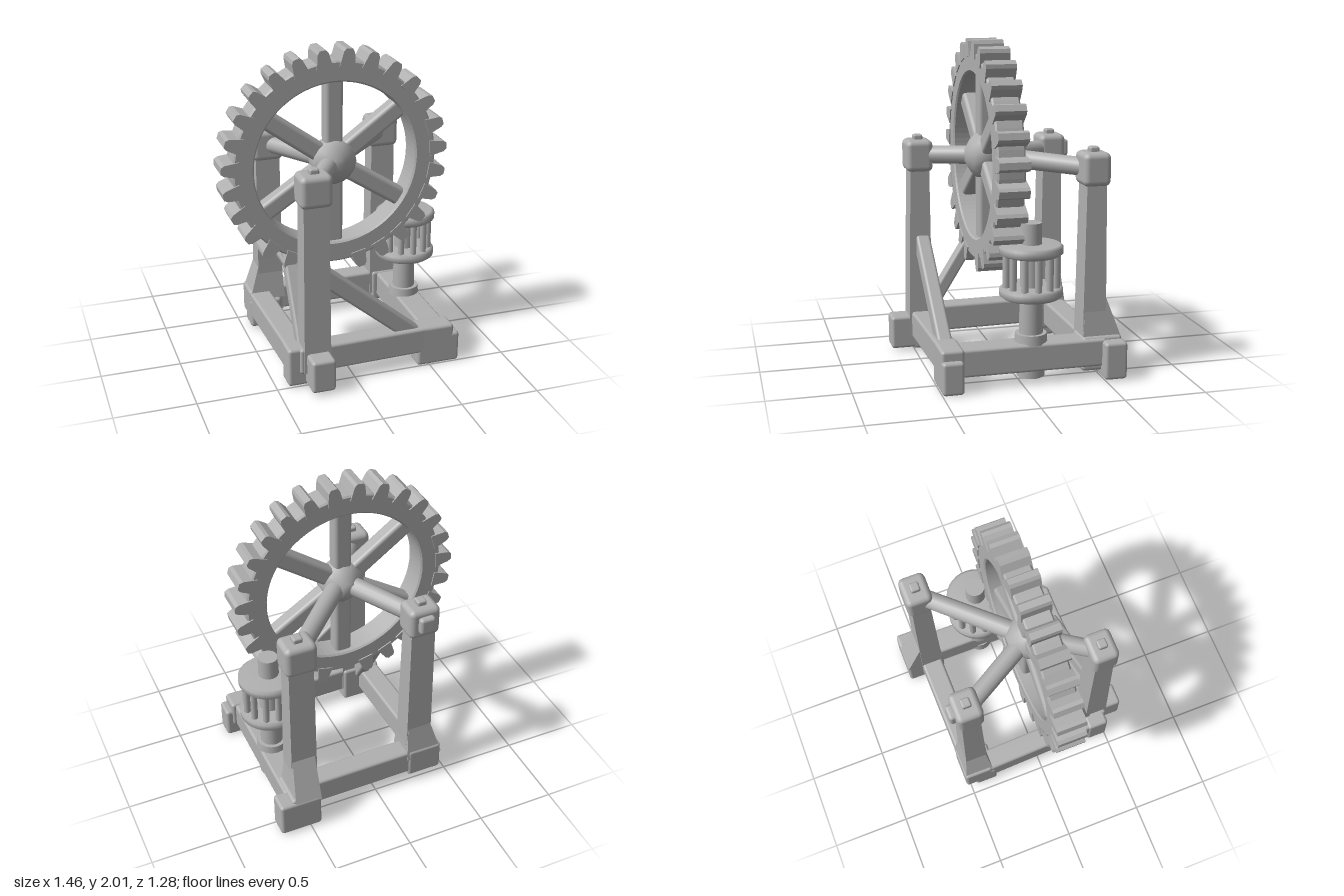
import * as THREE from 'three';
import { RoundedBoxGeometry } from 'three/addons/geometries/RoundedBoxGeometry.js';

export function createModel() {
  const model = new THREE.Group();
  model.name = 'gearMill';
  const stone = new THREE.MeshStandardMaterial({ color: 0xb0b0b0 });
  stone.name = 'plain grey';
  const V = (x, y, z) => new THREE.Vector3(x, y, z);

  function add(name, geometry, parent = model) {
    const mesh = new THREE.Mesh(geometry, stone);
    mesh.name = name;
    parent.add(mesh);
    return mesh;
  }

  // Soft-edged block given by its limits
  function block(name, x0, x1, y0, y1, z0, z1, r = 0.02) {
    const mesh = add(name, new RoundedBoxGeometry(x1 - x0, y1 - y0, z1 - z0, 2, r));
    mesh.position.set((x0 + x1) / 2, (y0 + y1) / 2, (z0 + z1) / 2);
    return mesh;
  }

  // Soft-edged timber between two points
  function beam(name, a, b, w, h) {
    const mesh = add(name, new RoundedBoxGeometry(w, h, a.distanceTo(b), 2, 0.018));
    mesh.position.copy(a).add(b).multiplyScalar(0.5);
    mesh.lookAt(b);
    return mesh;
  }

  // Round bar between two points
  function bar(name, a, b, ra, rb, sides = 14) {
    const mesh = add(name, new THREE.CylinderGeometry(rb, ra, a.distanceTo(b), sides));
    mesh.position.copy(a).add(b).multiplyScalar(0.5);
    mesh.quaternion.setFromUnitVectors(V(0, 1, 0), b.clone().sub(a).normalize());
    return mesh;
  }

  // Tapered block between two rectangles [x0, x1, z0, z1]
  function loft(name, y0, y1, low, high) {
    const g = new THREE.BoxGeometry(1, 1, 1);
    const p = g.attributes.position;
    for (let i = 0; i < p.count; i++) {
      const top = p.getY(i) > 0, rect = top ? high : low;
      p.setXYZ(i, rect[p.getX(i) > 0 ? 1 : 0], top ? y1 : y0, rect[p.getZ(i) > 0 ? 3 : 2]);
    }
    g.computeVertexNormals();
    return add(name, g);
  }

  // Ground frame
  beam('frontBeam', V(-0.36, 0.175, 0.46), V(0.62, 0.175, 0.43), 0.13, 0.17);
  beam('backBeam', V(-0.4, 0.17, -0.45), V(0.6, 0.17, -0.46), 0.14, 0.17);
  beam('leftBeam', V(0.55, 0.165, -0.52), V(0.55, 0.165, 0.45), 0.17, 0.17);
  beam('rightBeam', V(-0.38, 0.165, -0.48), V(-0.35, 0.165, 0.48), 0.14, 0.17);

  // Corner blocks and feet
  block('frontRightCorner', -0.43, -0.17, 0.01, 0.26, 0.37, 0.51);
  block('frontRightFoot', -0.32, -0.17, 0.02, 0.23, 0.42, 0.65);
  block('frontLeftCorner', 0.42, 0.66, 0.08, 0.26, 0.36, 0.5);
  block('frontLeftFoot', 0.42, 0.7, 0, 0.2, 0.37, 0.5);
  block('backLeftCorner', 0.43, 0.62, 0.05, 0.26, -0.62, -0.37);
  block('backLeftFoot', 0.43, 0.7, 0.01, 0.24, -0.63, -0.49);
  block('backRightCorner', -0.45, -0.22, 0.06, 0.26, -0.53, -0.34);
  block('backRightFoot', -0.45, -0.24, 0.01, 0.2, -0.46, -0.31);

  // Three posts with heads and pegs: x, z
  const posts = [
    ['frontRight', -0.25, 0.455],
    ['backLeft', 0.5, -0.46],
    ['backRight', -0.3, -0.43],
  ];
  const hubCentre = V(-0.01, 1.29, 0.075);
  for (const [side, x, z] of posts) {
    loft(side + 'Post', 0.1, 1.22, [x - 0.085, x + 0.085, z - 0.07, z + 0.08],
      [x - 0.078, x + 0.078, z - 0.06, z + 0.06]);
    block(side + 'PostHead', x - 0.1, x + 0.1, 1.17, 1.37, z - 0.085, z + 0.085, 0.035);
    block(side + 'PostPeg', x - 0.03, x + 0.03, 1.34, 1.4, z - 0.03, z + 0.03, 0.012);
    // Axle arm from the post head to the hub
    bar(side + 'Axle', V(x, 1.27, z), hubCentre, 0.055, 0.06);
  }
  block('backRightSidePeg', -0.35, -0.25, 1.22, 1.33, -0.55, -0.48);

  // Flared buttresses at the feet of the rear posts
  loft('backLeftButtress', 0.22, 0.5, [0.43, 0.6, -0.63, -0.38], [0.43, 0.575, -0.525, -0.4]);
  loft('backRightButtress', 0.2, 0.45, [-0.45, -0.21, -0.53, -0.33], [-0.375, -0.225, -0.495, -0.365]);

  // Diagonal braces
  beam('frontBrace', V(-0.22, 0.73, 0.44), V(0.42, 0.2, 0.43), 0.09, 0.11);
  beam('sideBrace', V(-0.3, 0.18, 0.42), V(-0.3, 0.78, 0.05), 0.09, 0.08);

  // Gear wheel
  const wheel = new THREE.Group();
  wheel.name = 'gearWheel';
  wheel.position.copy(hubCentre);
  model.add(wheel);

  const ring = new THREE.Shape().absarc(0, 0, 0.645, 0, Math.PI * 2);
  ring.holes.push(new THREE.Path().absarc(0, 0, 0.515, 0, Math.PI * 2, true));
  const rim = new THREE.ExtrudeGeometry(ring, {
    depth: 0.15, bevelSize: 0.01, bevelOffset: -0.01, bevelThickness: 0.01, bevelSegments: 1, curveSegments: 48,
  });
  rim.translate(0, 0, -0.075);
  add('rim', rim, wheel);

  // Tapered teeth, with one gap at the bottom
  const toothShape = new THREE.Shape([
    new THREE.Vector2(0.61, -0.05), new THREE.Vector2(0.7, -0.034), new THREE.Vector2(0.72, -0.02),
    new THREE.Vector2(0.72, 0.02), new THREE.Vector2(0.7, 0.034), new THREE.Vector2(0.61, 0.05),
  ]);
  const tooth = new THREE.ExtrudeGeometry(toothShape, { depth: 0.185, bevelEnabled: false });
  tooth.translate(0, 0, -0.0925);
  const teeth = 27;
  for (let i = 0; i < teeth; i++) {
    if (i === 13) continue;
    add('tooth', tooth, wheel).rotation.z = THREE.MathUtils.degToRad(97 + i * 360 / teeth);
  }

  // Six spokes and the hub
  for (const angle of [90, 270, 36, 144, 213, 327]) {
    const spoke = new RoundedBoxGeometry(0.55, 0.115, 0.1, 2, 0.025);
    spoke.translate(0.275, 0, 0);
    add('spoke', spoke, wheel).rotation.z = THREE.MathUtils.degToRad(angle);
  }
  const hub = new THREE.LatheGeometry([
    [0, -0.13], [0.05, -0.13], [0.1, -0.08], [0.14, -0.04], [0.14, 0.05], [0.1, 0.09], [0.04, 0.125], [0, 0.125],
  ].map(([x, y]) => new THREE.Vector2(x, y)), 16);
  hub.rotateX(Math.PI / 2);
  add('hub', hub, wheel);

  // Lantern pinion on its upright shaft
  const px = 0.54, pz = -0.07;
  bar('pinionShaft', V(px, 0.03, pz), V(px, 0.97, pz), 0.075, 0.062, 20);
  bar('shaftEnd', V(px, 0.035, pz), V(px, 0.12, pz), 0.085, 0.085, 16);
  bar('shaftCollar', V(px, 0.24, pz), V(px, 0.3, pz), 0.1, 0.095, 16);
  const disc = new THREE.LatheGeometry([
    [0, -0.033], [0.17, -0.033], [0.19, -0.018], [0.19, 0.018], [0.17, 0.033], [0, 0.033],
  ].map(([x, y]) => new THREE.Vector2(x, y)), 32);
  add('lowerDisc', disc).position.set(px, 0.553, pz);
  add('upperDisc', disc).position.set(px, 0.81, pz);
  const pins = 12;
  for (let i = 0; i < pins; i++) {
    const a = i / pins * Math.PI * 2;
    const x = px + 0.152 * Math.cos(a), z = pz + 0.152 * Math.sin(a);
    bar('pinionPin', V(x, 0.56, z), V(x, 0.8, z), 0.022, 0.022, 8);
  }

  return model;
}
